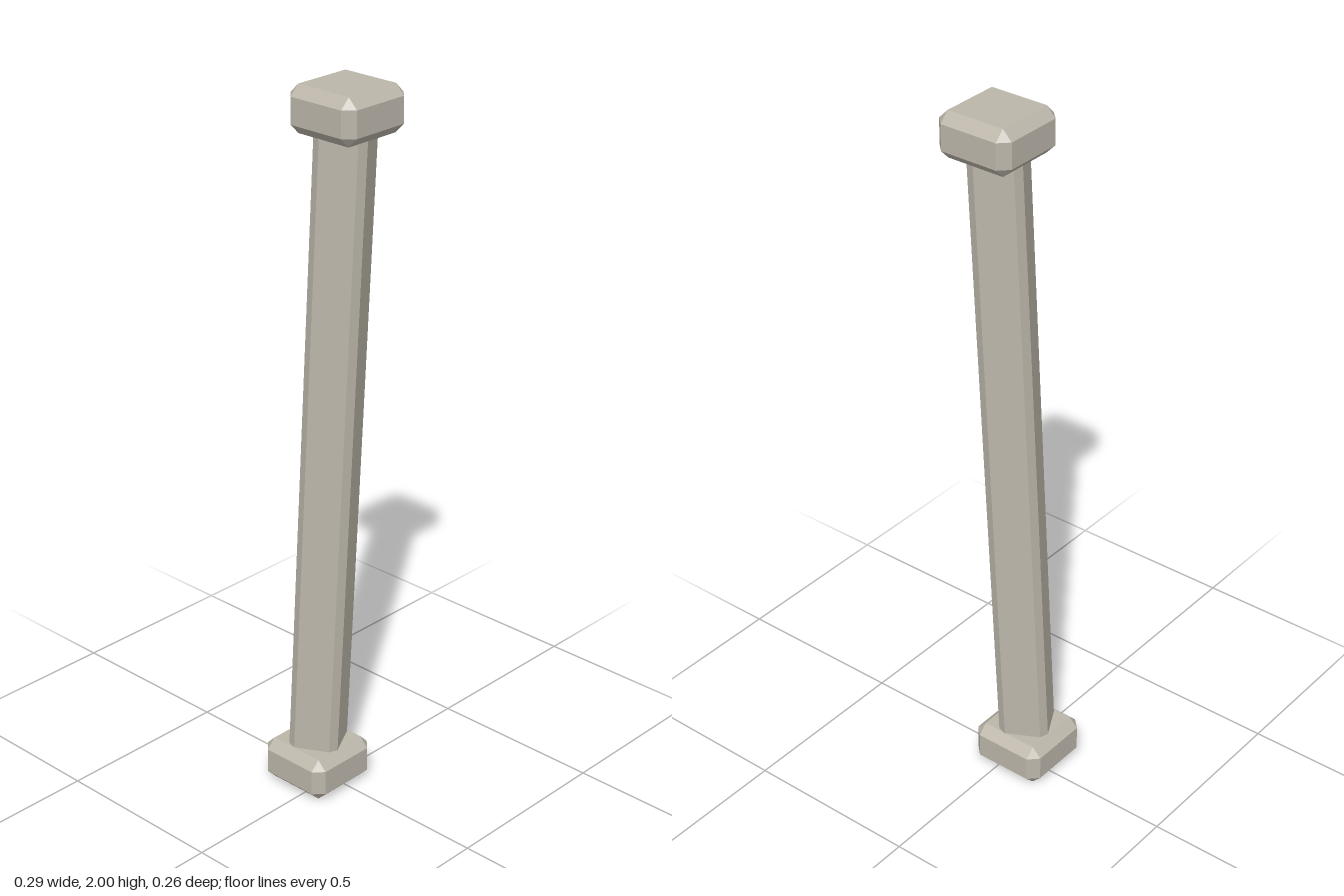
import * as THREE from 'three';
import { ConvexGeometry } from 'three/addons/geometries/ConvexGeometry.js';

// Box with every edge and corner cut flat by c
function chamferBox(w, h, d, c) {
  const points = [];
  for (const sx of [-1, 1]) for (const sy of [-1, 1]) for (const sz of [-1, 1]) {
    const x = w / 2, y = h / 2, z = d / 2;
    points.push(
      new THREE.Vector3(sx * x, sy * (y - c), sz * (z - c)),
      new THREE.Vector3(sx * (x - c), sy * y, sz * (z - c)),
      new THREE.Vector3(sx * (x - c), sy * (y - c), sz * z)
    );
  }
  return new ConvexGeometry(points);
}

export function createModel() {
  const group = new THREE.Group();
  group.name = 'leaningPillar';
  const stone = new THREE.MeshStandardMaterial({ color: 0xbcb6aa, flatShading: true });
  stone.name = 'pale stone';

  const add = (name, geometry, position) => {
    const mesh = new THREE.Mesh(geometry, stone);
    mesh.name = name;
    mesh.position.copy(position);
    group.add(mesh);
    return mesh;
  };

  // Level blocks at both ends, offset from each other
  const bottom = new THREE.Vector3(-0.035, 0.0625, 0.018);
  const top = new THREE.Vector3(0.035, 1.9375, -0.02);
  const block = chamferBox(0.222, 0.125, 0.222, 0.027);
  add('baseBlock', block, bottom);
  add('capBlock', block, top);

  // Shaft turned about its axis and leaning from block to block
  const axis = top.clone().sub(bottom);
  const shaft = add('shaft', chamferBox(0.138, axis.length(), 0.138, 0.019),
    bottom.clone().add(top).multiplyScalar(0.5));
  const up = new THREE.Vector3(0, 1, 0);
  const twist = new THREE.Quaternion().setFromAxisAngle(up, 0.49);
  shaft.quaternion.setFromUnitVectors(up, axis.normalize()).multiply(twist);

  return group;
}
